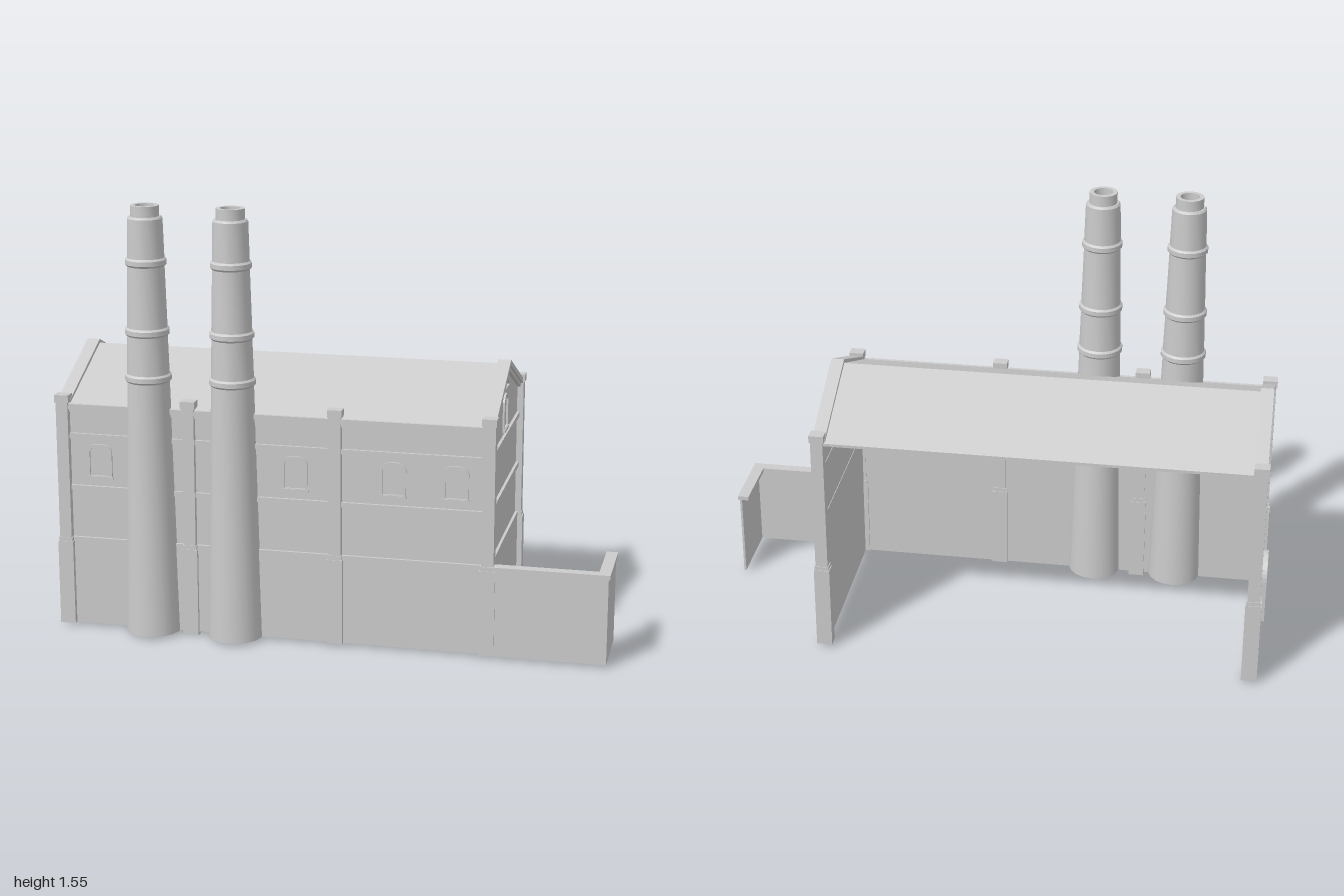
import * as THREE from 'three';
import { toCreasedNormals } from 'three/addons/utils/BufferGeometryUtils.js';

const mat = new THREE.MeshStandardMaterial({ color: 0xcccccc, side: THREE.DoubleSide });
const MID = -0.0425;   // z of the ridge
const HALF = 0.333;    // ridge to corner post centre
const BASE = 0.01;

function add(parent, name, geometry, x = 0, y = 0, z = 0) {
  const m = new THREE.Mesh(geometry, mat);
  m.name = name;
  m.position.set(x, y, z);
  parent.add(m);
  return m;
}

// box given by its limits
function block(parent, name, x0, x1, y0, y1, z0, z1) {
  return add(parent, name, new THREE.BoxGeometry(x1 - x0, y1 - y0, z1 - z0),
    (x0 + x1) / 2, (y0 + y1) / 2, (z0 + z1) / 2);
}

function polygon(points) {
  return new THREE.Shape(points.map(p => new THREE.Vector2(p[0], p[1])));
}

// extrude from z0 to z1
function slab(shape, z0, z1) {
  return new THREE.ExtrudeGeometry(shape, { depth: z1 - z0, bevelEnabled: false, curveSegments: 8 })
    .translate(0, 0, z0);
}

// inverted V strip following the gable slope
function chevron(half, eave, ridge, t) {
  return polygon([[-half, eave - t], [0, ridge - t], [half, eave - t], [half, eave], [0, ridge], [-half, eave]]);
}

// upright opening with a curved head, its foot at y = 0
function archShape(w, h, rise) {
  const s = new THREE.Shape();
  s.moveTo(-w, 0);
  s.lineTo(w, 0);
  s.lineTo(w, h - rise);
  s.quadraticCurveTo(w * 0.8, h, 0, h);
  s.quadraticCurveTo(-w * 0.8, h, -w, h - rise);
  s.closePath();
  return s;
}

// framed window facing +z, showing on both faces of the wall
function addWindow(parent, x, y, z, h = 0.125) {
  const g = new THREE.Group();
  g.name = 'window';
  g.position.set(x, y, z);
  const frame = archShape(0.045, h, 0.024);
  frame.holes.push(new THREE.Path(archShape(0.037, h - 0.016, 0.02).getPoints(8).map(p => p.setY(p.y + 0.008))));
  add(g, 'windowFrame', slab(frame, -0.016, 0.007));
  block(g, 'windowSill', -0.048, 0.048, -0.004, 0.006, 0, 0.01);
  parent.add(g);
}

// square brick pier: wide foot, shaft and cap
function addPier(parent, x, z, foot = BASE) {
  const g = new THREE.Group();
  g.name = 'pier';
  const part = (name, hx, hz, y0, y1) => block(g, name, -hx, hx, y0, y1, -hz, hz);
  part('pierFoot', 0.028, 0.022, foot, 0.32);
  part('pierFootTop', 0.025, 0.02, 0.32, 0.335);
  part('pierShaft', 0.022, 0.018, 0.335, 0.84);
  part('pierCap', 0.026, 0.021, 0.835, 0.862);
  g.position.set(x, 0, z);
  parent.add(g);
}

// end wall, built facing +z and then turned outwards
function makeGable(name) {
  const g = new THREE.Group();
  g.name = name;
  add(g, 'gableWall', slab(polygon([[-HALF, 0.33], [HALF, 0.33], [HALF, 0.825], [0, 0.97], [-HALF, 0.825]]), -0.01, 0));
  block(g, 'lowerEndWall', -HALF, HALF, BASE, 0.335, -0.01, 0.01);
  for (const y of [0.52, 0.712]) block(g, 'stringCourse', -HALF, HALF, y - 0.009, y + 0.009, -0.012, 0.01);
  add(g, 'gableCoping', slab(chevron(HALF, 0.842, 0.99, 0.02), -0.026, 0.02));
  add(g, 'gableMoulding', slab(chevron(HALF, 0.824, 0.972, 0.016), -0.01, 0.012));
  const pediment = polygon([[-0.072, 0.885], [0.072, 0.885], [0.072, 0.894], [0, 0.937], [-0.072, 0.894]]);
  pediment.holes.push(new THREE.Path([[-0.045, 0.893], [0.045, 0.893], [0, 0.922]].map(p => new THREE.Vector2(...p))));
  add(g, 'pediment', slab(pediment, -0.016, 0.01));
  return g;
}

// tapering stack with bands and a hollow crown
function makeChimney() {
  const r = y => 0.098 - 0.0365 * (y / 1.51);
  const p = [[0, BASE], [r(0), BASE]];
  for (const y of [0.945, 1.11, 1.355]) {
    const a = r(y), b = a + 0.007;
    p.push([a, y - 0.016], [b, y - 0.009], [b, y + 0.007], [a, y + 0.014]);
  }
  p.push([r(1.51), 1.505], [0.056, 1.512], [0.05, 1.512], [0.05, 1.55], [0.034, 1.55], [0.034, 1.45], [0, 1.45]);
  const lathe = new THREE.LatheGeometry(p.map(q => new THREE.Vector2(q[0], q[1])), 18);
  return toCreasedNormals(lathe, 0.5);
}

export function createModel() {
  const model = new THREE.Group();
  model.name = 'powerHouse';
  const xL = -0.96, xR = 0.57;

  // long front wall; the back stays open
  block(model, 'upperFrontWall', xL, xR, 0.33, 0.825, 0.275, 0.285);
  block(model, 'lowerFrontWall', xL, xR, BASE, 0.335, 0.275, 0.295);
  for (const y of [0.52, 0.712]) block(model, 'stringCourse', xL, xR, y - 0.009, y + 0.009, 0.273, 0.295);
  block(model, 'eavesCornice', xL, xR, 0.812, 0.83, 0.275, 0.303);
  block(model, 'eavesMoulding', xL, xR, 0.8, 0.812, 0.275, 0.294);
  for (const x of [-0.83, -0.115, 0.235, 0.455]) addWindow(model, x, 0.56, 0.285);

  // end walls
  const right = makeGable('endWallWithYard');
  right.position.set(xR, 0, MID);
  right.rotation.y = Math.PI / 2;
  addWindow(right, 0, 0.737, 0, 0.13);
  model.add(right);

  const left = makeGable('endWallWithDoor');
  left.position.set(xL, 0, MID);
  left.rotation.y = -Math.PI / 2;
  for (const x of [-0.09, 0.09]) addWindow(left, x, 0.56, 0);
  // arched door surround
  const door = new THREE.Shape();
  door.moveTo(-0.075, 0.23);
  door.lineTo(-0.055, 0.23);
  door.lineTo(-0.055, 0.39);
  door.absarc(0, 0.39, 0.055, Math.PI, 0, true);
  door.lineTo(0.055, 0.23);
  door.lineTo(0.075, 0.23);
  door.lineTo(0.075, 0.39);
  door.absarc(0, 0.39, 0.075, 0, Math.PI, false);
  add(left, 'doorArch', slab(door, -0.012, 0.04), -0.228);
  model.add(left);

  // thin double-pitched roof
  const roof = add(model, 'roof', slab(chevron(HALF + 0.005, 0.828, 0.976, 0.01), xL, xR), 0, 0, MID);
  roof.rotation.y = Math.PI / 2;

  // piers at the corners and along the front
  for (const x of [xL - 0.001, xR + 0.001]) for (const s of [-1, 1]) addPier(model, x, MID + s * HALF);
  addPier(model, -0.498, 0.286, 0);
  addPier(model, 0.03, 0.286);

  // chimneys
  const stack = makeChimney();
  for (const x of [-0.64, -0.335]) add(model, 'chimney', stack, x, 0, 0.294);

  // low yard wall with coping
  block(model, 'yardFrontWall', xR, 0.99, BASE, 0.325, 0.3, 0.308);
  block(model, 'yardSideWall', 0.982, 0.99, BASE, 0.325, 0.055, 0.308);
  block(model, 'yardFrontCoping', xR, 0.996, 0.322, 0.337, 0.275, 0.313);
  block(model, 'yardSideCoping', 0.955, 0.996, 0.322, 0.337, 0.05, 0.275);
  return model;
}
